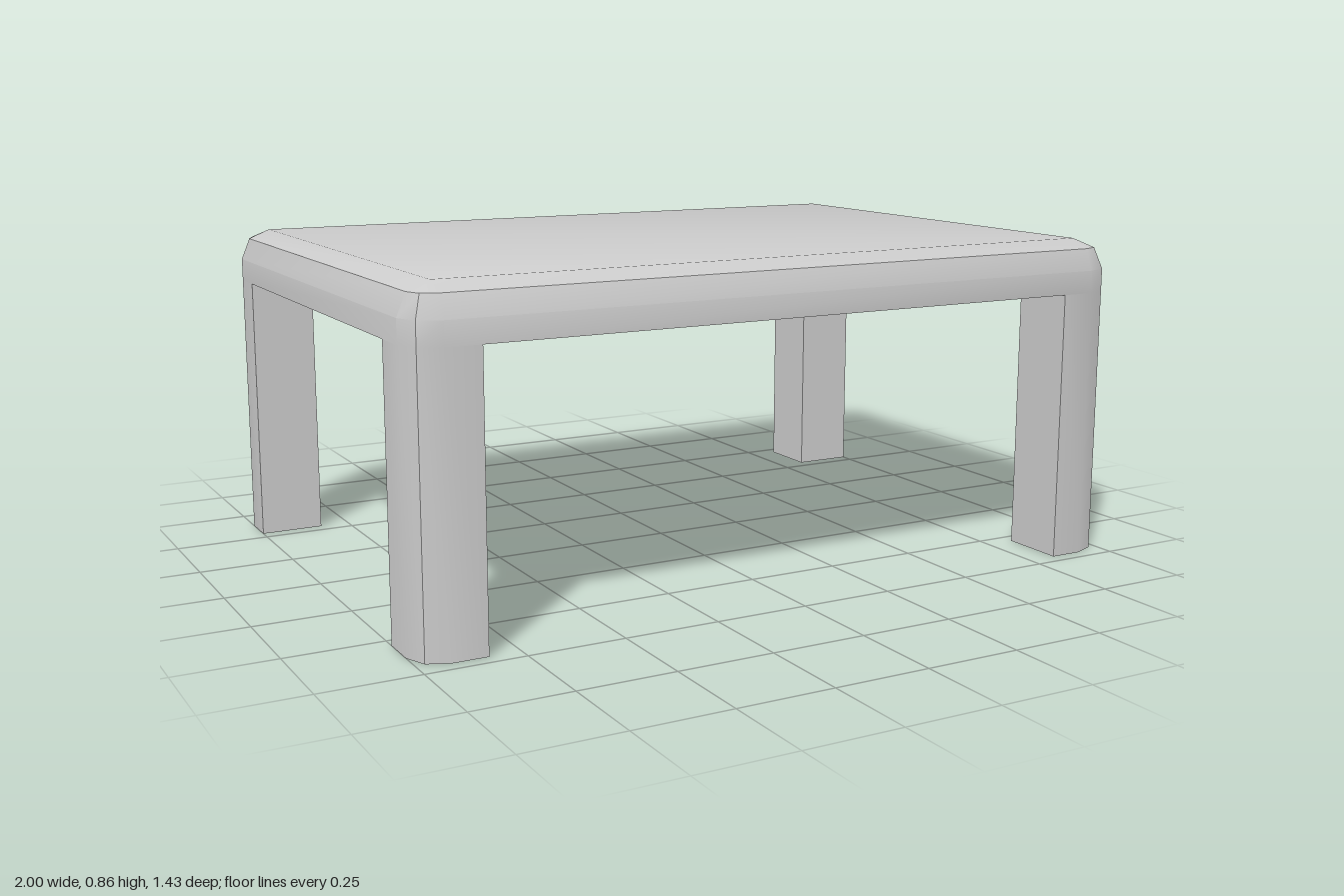
import * as THREE from 'three';
import { toCreasedNormals } from 'three/addons/utils/BufferGeometryUtils.js';

const HX = 1, HZ = 0.714, H = 0.858;   // half width, half depth, height
const R = 0.08, UNDER = 0.718;         // edge radius, underside of the top
const LEG_X = 0.83, LEG_Z = 0.538;     // inner faces of the legs
const CREASE = Math.PI / 6;
const material = new THREE.MeshStandardMaterial({ color: 0xcccccc });

// Rounded rectangle at height y, two segments per corner
function ring(y, r) {
  const points = [];
  for (let corner = 0; corner < 4; corner++) {
    const sx = corner === 0 || corner === 3 ? 1 : -1;
    const sz = corner < 2 ? 1 : -1;
    for (let k = 0; k <= 2; k++) {
      const a = (corner + k / 2) * Math.PI / 2;
      points.push(new THREE.Vector3(
        sx * (HX - R) + r * Math.cos(a), y, sz * (HZ - R) + r * Math.sin(a)));
    }
  }
  return points;
}

// Slab with rounded upper edges, stacked from rings
function topGeometry() {
  const rings = [ring(UNDER, R)];
  for (let k = 0; k <= 2; k++) {
    const a = k * Math.PI / 4;
    rings.push(ring(H - R + R * Math.sin(a), k === 2 ? 0 : R * Math.cos(a)));
  }
  const positions = [];
  const tri = (a, b, c) => {
    if (new THREE.Triangle(a, b, c).getArea() < 1e-7) return;
    for (const p of [a, b, c]) positions.push(p.x, p.y, p.z);
  };
  const n = rings[0].length;
  for (let j = 0; j < rings.length - 1; j++) {
    const lo = rings[j], up = rings[j + 1];
    for (let i = 0; i < n; i++) {
      const m = (i + 1) % n;
      tri(lo[i], up[i], lo[m]);
      tri(lo[m], up[i], up[m]);
    }
  }
  const bottom = rings[0], cap = rings[rings.length - 1];
  for (let i = 1; i < n - 1; i++) {
    tri(bottom[0], bottom[i], bottom[i + 1]);
    tri(cap[0], cap[i + 1], cap[i]);
  }
  const geometry = new THREE.BufferGeometry();
  geometry.setAttribute('position', new THREE.Float32BufferAttribute(positions, 3));
  return toCreasedNormals(geometry, CREASE);
}

// Upright leg whose outer corner follows the corner of the top
function legGeometry(sx, sz) {
  const points = [[LEG_X, LEG_Z], [HX, LEG_Z]];
  for (let k = 0; k <= 2; k++) {
    const a = k * Math.PI / 4;
    points.push([HX - R + R * Math.cos(a), HZ - R + R * Math.sin(a)]);
  }
  points.push([LEG_X, HZ]);
  const shape = new THREE.Shape(points.map(([x, z]) => new THREE.Vector2(sx * x, -sz * z)));
  const geometry = new THREE.ExtrudeGeometry(shape, { depth: UNDER, bevelEnabled: false });
  geometry.rotateX(-Math.PI / 2);
  return toCreasedNormals(geometry, CREASE);
}

export function createModel() {
  const table = new THREE.Group();
  table.name = 'table';
  const add = (name, geometry) => {
    const mesh = new THREE.Mesh(geometry, material);
    mesh.name = name;
    table.add(mesh);
  };

  add('tableTop', topGeometry());
  for (const sx of [1, -1]) {
    for (const sz of [1, -1]) {
      add((sz > 0 ? 'front' : 'back') + (sx > 0 ? 'Left' : 'Right') + 'Leg', legGeometry(sx, sz));
    }
  }
  return table;
}
